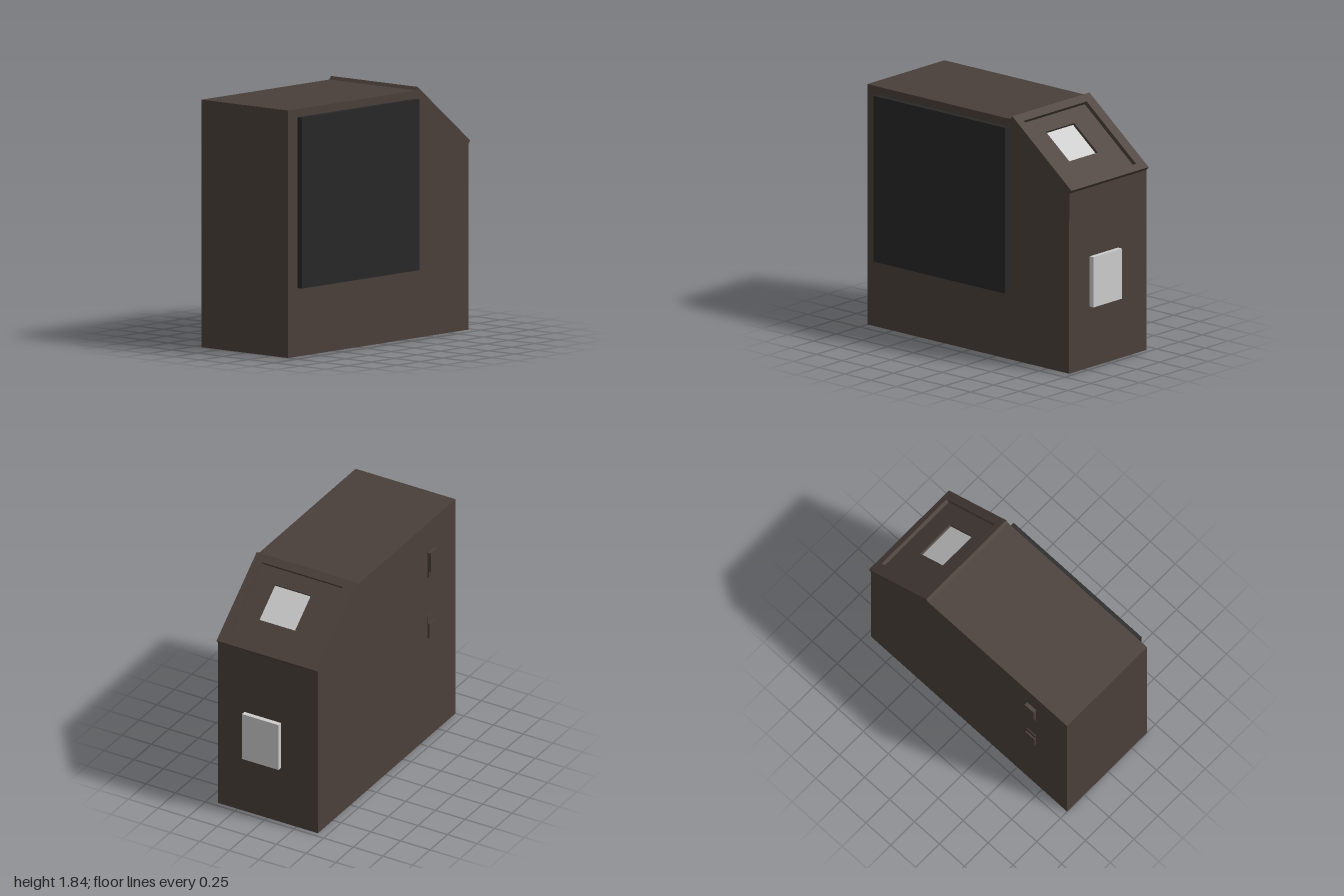
import * as THREE from 'three';

const material = (color) => new THREE.MeshStandardMaterial({ color, flatShading: true });
const brown = material(0x4a3f3a);
const black = material(0x272727);
const grey = material(0xcccccc);

const FRONT = 0.413, BACK = -0.43;

// Box given by its limits on each axis
function box(name, mat, [x0, x1], [y0, y1], [z0, z1]) {
  const mesh = new THREE.Mesh(new THREE.BoxGeometry(x1 - x0, y1 - y0, z1 - z0), mat);
  mesh.position.set((x0 + x1) / 2, (y0 + y1) / 2, (z0 + z1) / 2);
  mesh.name = name;
  return mesh;
}

const rect = (u0, u1, v0, v1) => [[u0, v0], [u1, v0], [u1, v1], [u0, v1]].map((p) => new THREE.Vector2(...p));

// Flat plate with a rectangular opening, from height n0 to n1
function plate(name, outer, hole, n0, n1) {
  const shape = new THREE.Shape(outer);
  shape.holes.push(new THREE.Path(hole));
  const geo = new THREE.ExtrudeGeometry(shape, { depth: n1 - n0, bevelEnabled: false });
  const mesh = new THREE.Mesh(geo, brown);
  mesh.position.z = n0;
  mesh.name = name;
  return mesh;
}

export function createModel() {
  const model = new THREE.Group();
  model.name = 'cabinet';

  // Slope: starts at the top edge and runs down to the side
  const start = new THREE.Vector2(0.391, 1.816);
  const dir = new THREE.Vector2(0.784, -0.62).normalize();
  const normal = new THREE.Vector2(-dir.y, dir.x);
  const onSlope = (u, n) => start.clone().addScaledVector(dir, u).addScaledVector(normal, n);
  const pocket = 0.022, notch = [0.1, 0.62];

  // Body with a shallow notch in the slope, filled by the panel
  const profile = new THREE.Shape([
    new THREE.Vector2(-1, 0), new THREE.Vector2(0.963, 0), onSlope(0.73, 0),
    onSlope(notch[1], 0), onSlope(notch[1], -pocket), onSlope(notch[0], -pocket), onSlope(notch[0], 0),
    start, new THREE.Vector2(-1, 1.816),
  ]);
  const body = new THREE.Mesh(
    new THREE.ExtrudeGeometry(profile, { depth: FRONT - BACK, bevelEnabled: false }), brown);
  body.position.z = BACK;
  body.name = 'body';
  model.add(body);

  // Sloped parts: local x runs downhill, local y to the back, local z outward
  const slope = new THREE.Group();
  slope.name = 'slopedTop';
  const basis = new THREE.Matrix4().makeBasis(
    new THREE.Vector3(dir.x, dir.y, 0), new THREE.Vector3(0, 0, -1), new THREE.Vector3(normal.x, normal.y, 0));
  slope.quaternion.setFromRotationMatrix(basis);
  slope.position.set(start.x, start.y, 0);
  slope.add(
    plate('slopeFrame', rect(0, 0.733, -FRONT, -BACK), rect(0.064, 0.676, -0.343, 0.343), 0, 0.031),
    plate('slopePanel', rect(...notch, -FRONT, -BACK), rect(0.188, 0.477, -0.19, 0.12), -pocket, 0),
    box('slopeDisplay', grey, [0.188, 0.477], [-0.19, 0.12], [-pocket - 0.01, -pocket + 0.002]),
  );
  model.add(slope);

  // Front screen and side plate
  model.add(
    box('frontScreen', black, [-0.9, 0.38], [0.503, 1.756], [FRONT - 0.01, 0.458]),
    box('sidePlate', grey, [0.95, 1], [0.46, 0.84], [-0.12, 0.19]),
  );

  // Two stepped latches on the back: each has a thick and a thin part
  const latch = (name, y0, y1, depth) => box(name, brown, [-0.69, -0.6], [y0, y1], [BACK - depth, BACK + 0.01]);
  model.add(
    latch('upperLatch', 1.41, 1.57, 0.028),
    latch('upperLatchBase', 1.36, 1.41, 0.012),
    latch('lowerLatch', 0.845, 0.97, 0.016),
    latch('lowerLatchBase', 0.97, 1.03, 0.006),
  );
  return model;
}
